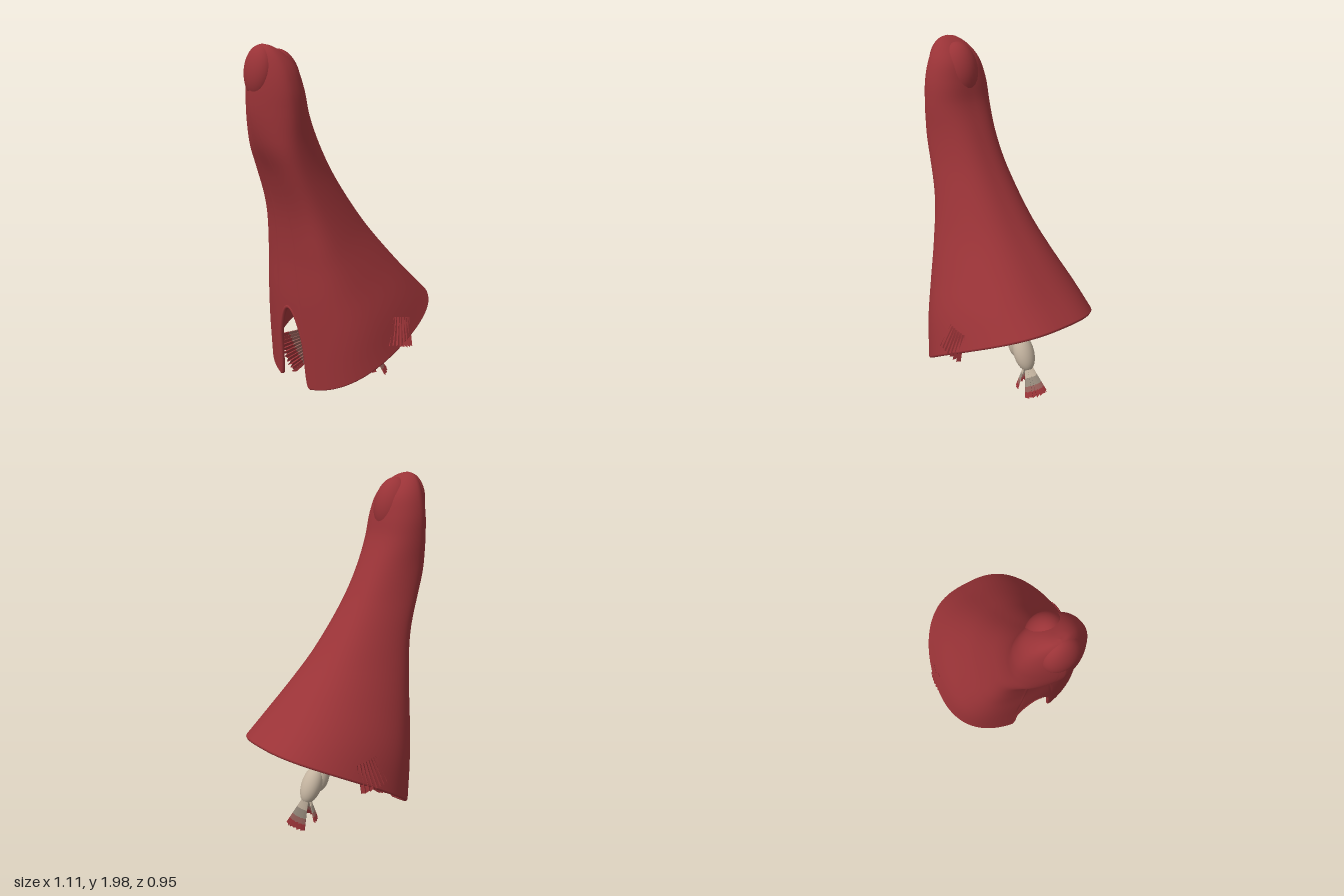
import * as THREE from 'three';

const V = (x, y, z = 0) => new THREE.Vector3(x, y, z);
const mat = (color, flatShading = false) =>
  new THREE.MeshStandardMaterial({ color, flatShading, side: THREE.DoubleSide, roughness: 0.8 });
const RED = 0x9a3337, CREAM = 0xc4b4a0, DUSK = 0x968a7c, ROSE = 0x96605a;
const FAN_COLORS = [CREAM, DUSK, ROSE, RED];

// Tilted hood rings, rim to crown: back x, back y, front x, front y, half width
const RINGS = [
  [-0.3, 0.09, 0.552, 0.565, 0.472], [-0.315, 0.35, 0.42, 0.69, 0.43],
  [-0.33, 0.6, 0.28, 0.84, 0.36], [-0.335, 0.85, 0.15, 0.99, 0.295],
  [-0.365, 1.1, 0.03, 1.15, 0.245], [-0.43, 1.31, -0.08, 1.32, 0.215],
  [-0.505, 1.48, -0.175, 1.5, 0.203], [-0.54, 1.63, -0.24, 1.65, 0.2],
  [-0.545, 1.77, -0.265, 1.77, 0.187], [-0.535, 1.88, -0.3, 1.88, 0.152],
  [-0.515, 1.955, -0.37, 1.955, 0.1], [-0.49, 1.99, -0.43, 1.99, 0.05],
  [-0.465, 2.0, -0.465, 2.0, 0],
];
const back = new THREE.CatmullRomCurve3(RINGS.map(r => V(r[0], r[1], r[4])));
const front = new THREE.CatmullRomCurve3(RINGS.map(r => V(r[2], r[3])));

// Ring point: broad flat front, lower rings with a flat back panel, crown pinched at the back
function hoodPoint(angle, t) {
  const b = back.getPoint(t), f = front.getPoint(t), cos = Math.cos(angle), s = Math.sin(angle);
  const c = (1 + cos) / 2, crown = THREE.MathUtils.smoothstep(t, 0.4, 0.62);
  const skew = Math.min(0.1, 0.21 * (f.x - b.x)) * (1 - crown);
  const power = cos > 0 ? 0.75 : 1 + 0.45 * crown;
  return V(b.x + (f.x - b.x) * c - skew * s * s, b.y + (f.y - b.y) * c,
    Math.max(0, b.z) * Math.sign(s) * Math.pow(Math.abs(s), power));
}

// Point moved inward from the hood wall
function insetPoint(angle, t, amount) {
  const mid = hoodPoint(0, t).add(hoodPoint(Math.PI, t)).multiplyScalar(0.5);
  return hoodPoint(angle, t).lerp(mid, amount);
}

// Where the hood starts at each angle: 0 on the rim, raised in the back notch
function edge(angle) {
  const d = (angle - Math.PI) / 0.31;
  return Math.abs(d) < 1 ? 0.15 * Math.pow(1 - d * d, 0.4) : 0;
}

function surface(point, cols, rows, closed) {
  const pos = [], idx = [], n = closed ? cols : cols + 1;
  for (let j = 0; j <= rows; j++)
    for (let i = 0; i < n; i++) pos.push(...point(i / cols, j / rows).toArray());
  for (let j = 0; j < rows; j++)
    for (let i = 0; i < cols; i++) {
      const a = j * n + i, b = j * n + (i + 1) % n;
      idx.push(a, a + n, b, b, a + n, b + n);
    }
  const g = new THREE.BufferGeometry();
  g.setAttribute('position', new THREE.Float32BufferAttribute(pos, 3));
  g.setIndex(idx);
  g.computeVertexNormals();
  return g;
}

function add(parent, name, geometry, material) {
  const mesh = new THREE.Mesh(geometry, material);
  mesh.name = name;
  parent.add(mesh);
  return mesh;
}

function ellipsoid(parent, name, center, radii, tilt, material) {
  const m = add(parent, name, new THREE.SphereGeometry(1, 32, 20), material);
  m.position.copy(center);
  m.scale.copy(radii);
  m.rotation.z = tilt;
}

// Pleated, cupped fan with a ragged tip, banded from root to edge
function fan(parent, name, root, tip, wide, rootWidth, tipWidth, arc, pleats = 9, colors = FAN_COLORS) {
  const group = new THREE.Group();
  group.name = name;
  const axis = tip.clone().sub(root).normalize();
  wide = wide.clone().addScaledVector(axis, -wide.dot(axis)).normalize();
  const normal = axis.clone().cross(wide);
  const cols = pleats * 2;
  const point = (u, s) => {
    const k = Math.round(u * cols), a = (u - 0.5) * arc;
    const w = (rootWidth + (tipWidth - rootWidth) * s) / Math.sin(arc / 2);
    const ragged = 1 - 0.04 * s * (1 + Math.sin(k * 2.7));
    const pleat = (k % 2 ? 1 : -1) * (0.003 + 0.006 * s);
    return root.clone().lerp(tip, s * ragged * (0.86 + 0.14 * Math.cos(a)))
      .addScaledVector(wide, w * Math.sin(a))
      .addScaledVector(normal, w * (1 - Math.cos(a)) + pleat);
  };
  const cuts = [0, 0.35, 0.62, 0.8, 1];
  colors.forEach((color, i) => add(group, `${name}Band${i + 1}`,
    surface((u, v) => point(u, cuts[i] + (cuts[i + 1] - cuts[i]) * v), cols, 1, false), mat(color, true)));
  parent.add(group);
}

export function createModel() {
  const model = new THREE.Group();
  model.name = 'hoodedBell';
  const red = mat(RED), cream = mat(CREAM);

  // Hood shell with a notch at the back, its lining and rolled rim
  add(model, 'hood', surface((u, v) => {
    const a = u * Math.PI * 2, t0 = edge(a);
    return hoodPoint(a, t0 + (1 - t0) * v);
  }, 160, 60, true), red);
  add(model, 'hoodLining', surface((u, v) => {
    const a = u * Math.PI * 2, t0 = edge(a);
    return insetPoint(a, t0 + (0.8 - t0) * v, 0.055);
  }, 160, 48, true), red);
  const rim = [];
  for (let i = 0; i < 160; i++) {
    const a = i / 160 * Math.PI * 2;
    rim.push(insetPoint(a, edge(a), 0.025));
  }
  add(model, 'rim', new THREE.TubeGeometry(new THREE.CatmullRomCurve3(rim, true), 320, 0.012, 8, true), red);

  // Rounded lobes at the crown
  ellipsoid(model, 'frontLobe', V(-0.36, 1.81), V(0.108, 0.165, 0.108), 0.17, red);
  ellipsoid(model, 'backLobe', V(-0.485, 1.855), V(0.073, 0.14, 0.105), -0.08, red);

  // Pale body hanging in the opening
  ellipsoid(model, 'body', V(0.212, 0.25), V(0.058, 0.115, 0.062), 0.42, cream);
  ellipsoid(model, 'bodyBase', V(0.15, 0.3), V(0.05, 0.105, 0.058), 0.2, cream);

  // Two-sided tail fan below the body and a crest fan above it
  fan(model, 'tailFanFront', V(0.265, 0.18), V(0.37, 0.028), V(0, 0, 1), 0.025, 0.08, 2.4);
  fan(model, 'tailFanBack', V(0.235, 0.19), V(0.195, 0.045), V(0, 0, -1), 0.025, 0.08, 2.4);
  fan(model, 'crestFan', V(0.13, 0.37), V(0.19, 0.55), V(0, 0, 1), 0.05, 0.115, 1.6);

  // Mirrored side and back fans
  for (const side of [1, -1]) {
    const name = side > 0 ? 'front' : 'rear';
    fan(model, name + 'SideFan', V(0.12, 0.37, side * 0.06), V(0.11, 0.425, side * 0.45),
      V(side * 0.75, side * 0.65, 0), 0.045, 0.105, 0.8);
    // Frayed edge folded over the outside of the rim
    fan(model, name + 'SideFringe', V(0.135, 0.52, side * 0.433), V(0.1, 0.36, side * 0.468),
      V(-side, -side * 0.3, 0.12), 0.07, 0.1, 0.7, 8, [RED, RED, RED, RED]);
    fan(model, name + 'BackFan', V(0.08, 0.34, side * 0.05), V(-0.24, 0.18, side * 0.2),
      V(0, side * 0.7, 0.7), 0.04, 0.13, 0.8, 12);
  }
  return model;
}
